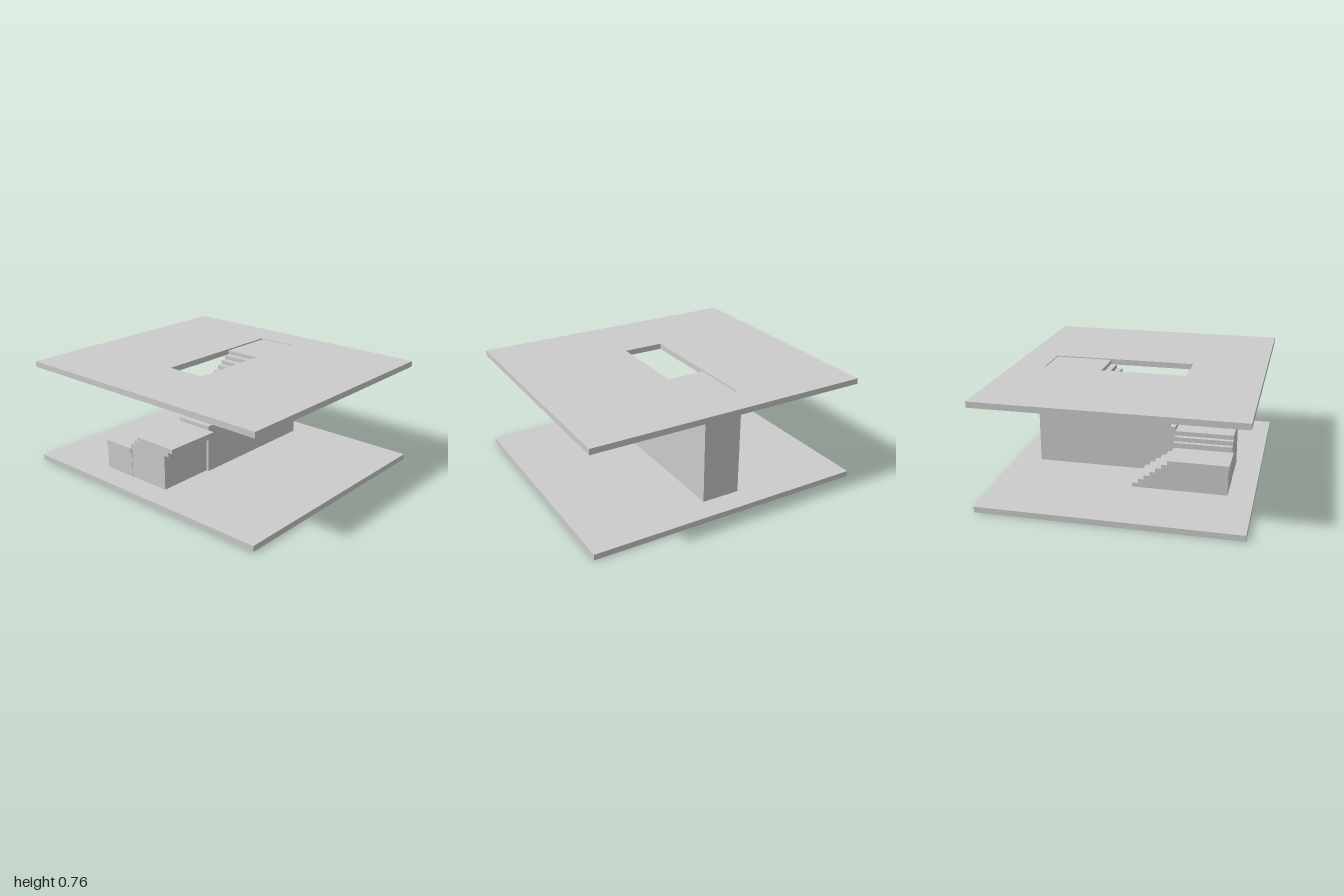
import * as THREE from 'three';

const material = new THREE.MeshStandardMaterial({ color: 0xcccccc, flatShading: true });

function add(parent, name, geometry) {
  const mesh = new THREE.Mesh(geometry, material);
  mesh.name = name;
  parent.add(mesh);
  return mesh;
}

// Box given by its extents along each axis
function block(parent, name, [x0, x1], [y0, y1], [z0, z1]) {
  const mesh = add(parent, name, new THREE.BoxGeometry(x1 - x0, y1 - y0, z1 - z0));
  mesh.position.set((x0 + x1) / 2, (y0 + y1) / 2, (z0 + z1) / 2);
}

// Solid flight: a stepped side profile in (z, y), extruded across x
function flight(parent, name, [x0, x1], { base, start, zStart, zEnd, run, rise, count }) {
  const shape = new THREE.Shape();
  shape.moveTo(zStart, base);
  for (let i = 0; i < count; i++) {
    const z = zStart + i * run;
    shape.lineTo(z, start + i * rise);
    shape.lineTo(z, start + (i + 1) * rise);
  }
  shape.lineTo(zEnd, start + count * rise);
  shape.lineTo(zEnd, base);
  const geometry = new THREE.ExtrudeGeometry(shape, { depth: x1 - x0, bevelEnabled: false });
  geometry.rotateY(-Math.PI / 2); // profile z stays z, depth runs towards -x
  geometry.translate(x1, 0, 0);
  add(parent, name, geometry);
}

export function createModel() {
  const model = new THREE.Group();
  model.name = 'stairBetweenFloors';

  // Lower floor
  block(model, 'lowerFloor', [-1, 1], [0, 0.04], [-0.88, 0.88]);

  // Upper floor with the stairwell opening
  const slab = new THREE.Shape();
  slab.moveTo(-1, -0.88).lineTo(1, -0.88).lineTo(1, 0.88).lineTo(-1, 0.88).closePath();
  const well = new THREE.Path();
  well.moveTo(-0.175, -0.36).lineTo(-0.175, 0.65).lineTo(0.115, 0.65).lineTo(0.115, -0.36).closePath();
  slab.holes.push(well);
  const slabGeometry = new THREE.ExtrudeGeometry(slab, { depth: 0.04, bevelEnabled: false });
  slabGeometry.rotateX(-Math.PI / 2);
  slabGeometry.translate(0, 0.72, 0);
  add(model, 'upperFloor', slabGeometry);

  // Upper flight, climbing towards the back
  flight(model, 'upperFlight', [-0.165, 0.11], {
    base: 0.04, start: 0.35, zStart: 0.29, zEnd: -0.71, run: -0.0408, rise: 0.0289, count: 14,
  });

  // Lower flight, climbing towards the front
  flight(model, 'lowerFlight', [-0.475, -0.225], {
    base: 0.04, start: 0.04, zStart: 0.05, zEnd: 0.703, run: 0.04, rise: 0.03, count: 7,
  });
  block(model, 'lowerLandingNosing', [-0.475, -0.23], [0.22, 0.251], [0.29, 0.71]);

  // Turning platform: solid base with three offset treads
  block(model, 'platformBase', [-0.235, 0.09], [0.04, 0.288], [0.29, 0.7]);
  for (let i = 0; i < 2; i++) {
    block(model, 'platformTread', [-0.203 + i * 0.034, 0.127 + i * 0.034],
      [0.288 + i * 0.031, 0.319 + i * 0.031], [0.29, 0.7]);
  }
  return model;
}
